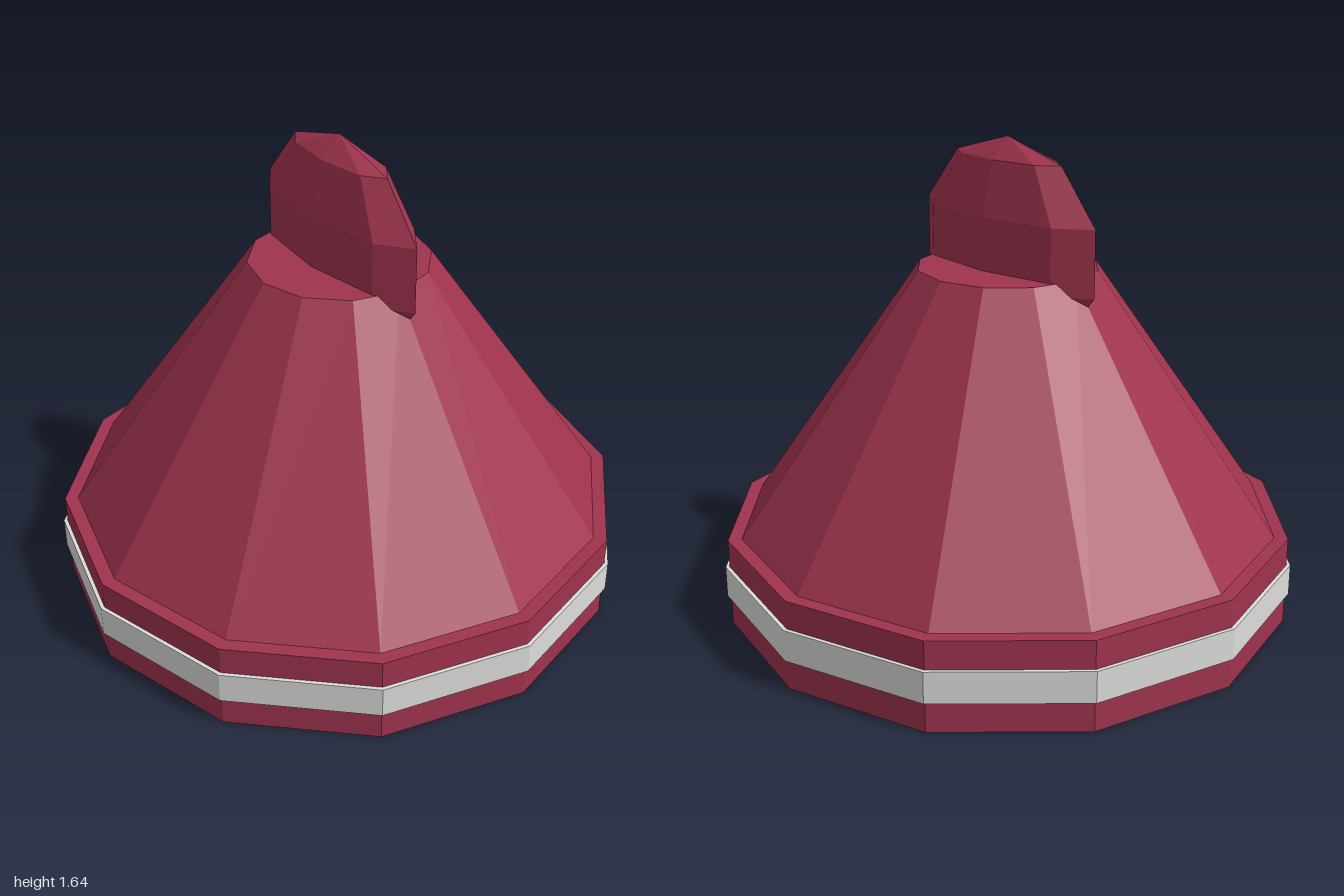
import * as THREE from 'three';

const SIDES = 12;

export function createModel() {
  const group = new THREE.Group();
  const maroon = new THREE.MeshStandardMaterial({ color: 0x9f334e, flatShading: true });
  maroon.name = 'maroon';
  const silver = new THREE.MeshStandardMaterial({ color: 0xdcdcda, flatShading: true });
  silver.name = 'silver';

  // Twelve-sided drum between two heights
  function drum(name, rBottom, rTop, y0, y1, material) {
    const geometry = new THREE.CylinderGeometry(rTop, rBottom, y1 - y0, SIDES);
    const mesh = new THREE.Mesh(geometry, material);
    mesh.name = name;
    mesh.position.y = (y0 + y1) / 2;
    group.add(mesh);
  }

  drum('base', 0.987, 0.987, 0, 0.31, maroon);
  drum('trimBand', 1, 1, 0.105, 0.213, silver);
  drum('slopedBody', 0.94, 0.31, 0.31, 1.21, maroon);

  // Flattened low-poly ellipsoid grip, sunk into the body
  const grip = new THREE.SphereGeometry(1, 8, 5);
  grip.scale(0.126, 0.367, 0.41);
  const knob = new THREE.Mesh(grip, maroon);
  knob.name = 'gripKnob';
  knob.position.y = 1.278;
  group.add(knob);

  return group;
}
